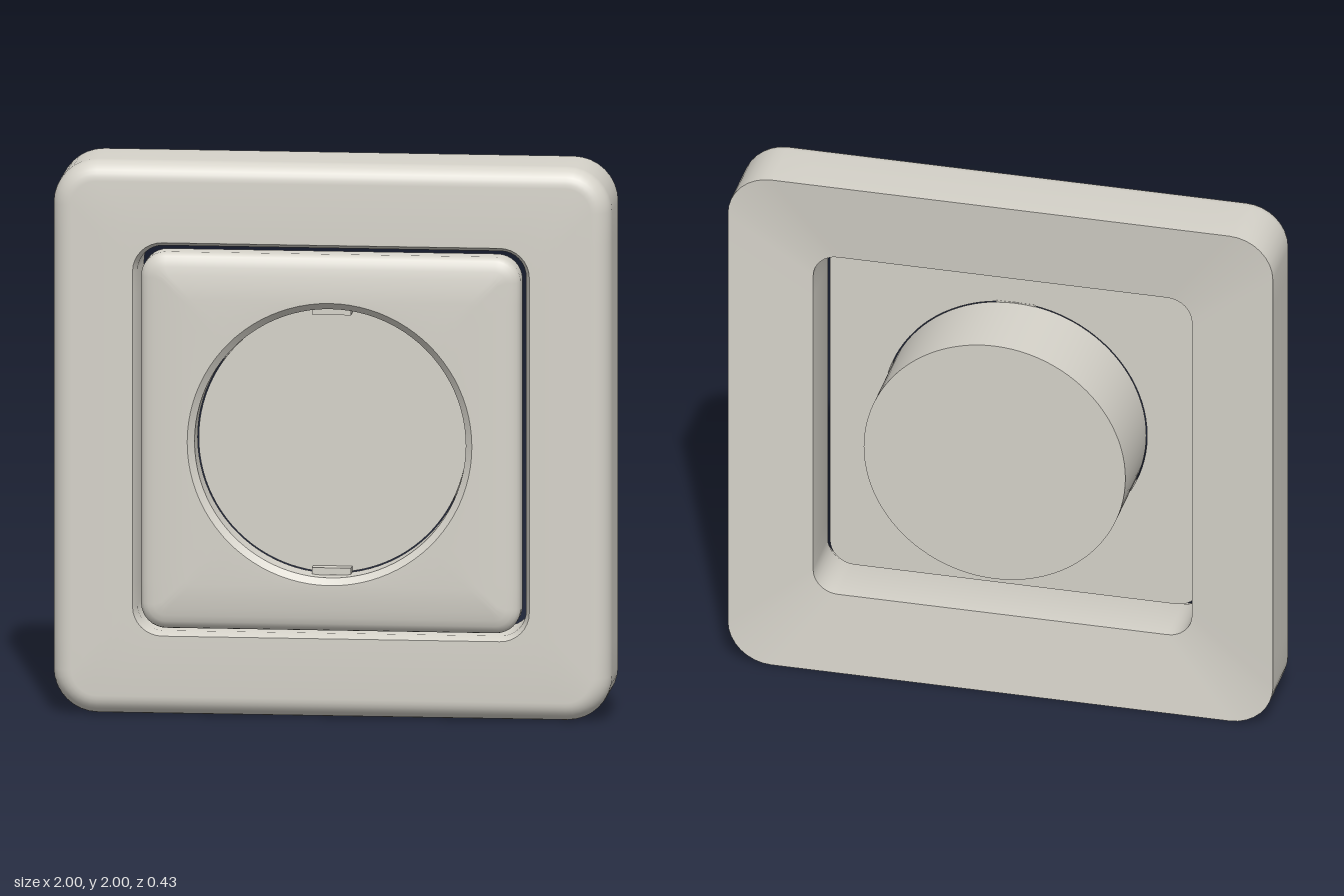
import * as THREE from 'three';
import { toCreasedNormals } from 'three/addons/utils/BufferGeometryUtils.js';

const EDGE = 20;   // segments along a straight side
const CORNER = 8;  // segments round a corner

// Rounded square of half-width h and corner radius r at depth z
function squareRing(h, r, z) {
  const points = [];
  const s = h - r;
  const reach = Math.atan2(s, h);
  for (let side = 0; side < 4; side++) {
    const turn = side * Math.PI / 2;
    const add = (x, y) => points.push(new THREE.Vector3(
      x * Math.cos(turn) - y * Math.sin(turn), x * Math.sin(turn) + y * Math.cos(turn), z));
    for (let i = 0; i < EDGE; i++) add(h, h * Math.tan(reach * (2 * i / EDGE - 1)));
    for (let i = 0; i < CORNER; i++) {
      const a = (i / CORNER) * Math.PI / 2;
      add(s + r * Math.cos(a), s + r * Math.sin(a));
    }
  }
  return points;
}

// Circle whose points line up with those of a rounded square
function circleRing(radius, z) {
  return squareRing(0.68, 0.09, 0).map((p) => p.setLength(radius).setZ(z));
}

// Skin a closed cycle of rings
function loft(rings) {
  const n = rings[0].length;
  const index = [];
  rings.forEach((ring, i) => {
    const next = ((i + 1) % rings.length) * n;
    for (let j = 0; j < n; j++) {
      const k = (j + 1) % n;
      const a = i * n + j, b = i * n + k, c = next + j, d = next + k;
      index.push(a, b, c, b, d, c);
    }
  });
  const geometry = new THREE.BufferGeometry().setFromPoints(rings.flat());
  geometry.setIndex(index);
  return toCreasedNormals(geometry, 0.5);
}

export function createModel() {
  const group = new THREE.Group();
  const plastic = new THREE.MeshStandardMaterial({ color: 0xd6d3ca });
  plastic.name = 'warm grey plastic';

  function add(name, geometry, x = 0, y = 1, z = 0) {
    const mesh = new THREE.Mesh(geometry, plastic);
    mesh.name = name;
    mesh.position.set(x, y, z);
    group.add(mesh);
  }

  // Outer frame: sloping back, rounded front edge, chamfered opening
  const frameRings = [squareRing(0.695, 0.09, -0.095), squareRing(1, 0.16, -0.128)];
  for (let i = 0; i <= 8; i++) {
    const a = (i / 8) * Math.PI / 2;
    const inset = 0.07 * (1 - Math.cos(a));
    frameRings.push(squareRing(1 - inset, 0.16 - inset, 0.095 + 0.07 * Math.sin(a)));
  }
  frameRings.push(squareRing(0.711, 0.106, 0.165), squareRing(0.696, 0.091, 0.13));
  add('frame', loft(frameRings));

  // Centre plate: softly pillowed square with a round hole and bevelled lip
  const pillow = [[0, 0.098], [0, 0.167], [0.004, 0.178], [0.013, 0.188], [0.028, 0.196],
    [0.05, 0.202], [0.08, 0.207], [0.12, 0.212], [0.165, 0.215]];
  add('centrePlate', loft([
    circleRing(0.484, 0.098),
    ...pillow.map(([inset, z]) => squareRing(0.68 - inset, Math.max(0.09 - inset, 0.02), z)),
    circleRing(0.51, 0.215),
    circleRing(0.486, 0.192),
  ]));

  // Round socket body behind the plate, its front face closing the hole
  const body = new THREE.CylinderGeometry(0.48, 0.48, 0.315, 96);
  body.rotateX(Math.PI / 2);
  add('socketBody', body, 0, 1, -0.0575);

  // Small tabs at the top and bottom of the hole
  for (const side of [1, -1]) {
    add(side > 0 ? 'upperTab' : 'lowerTab', new THREE.BoxGeometry(0.14, 0.026, 0.05), 0, 1 + side * 0.47, 0.122);
  }

  return group;
}
